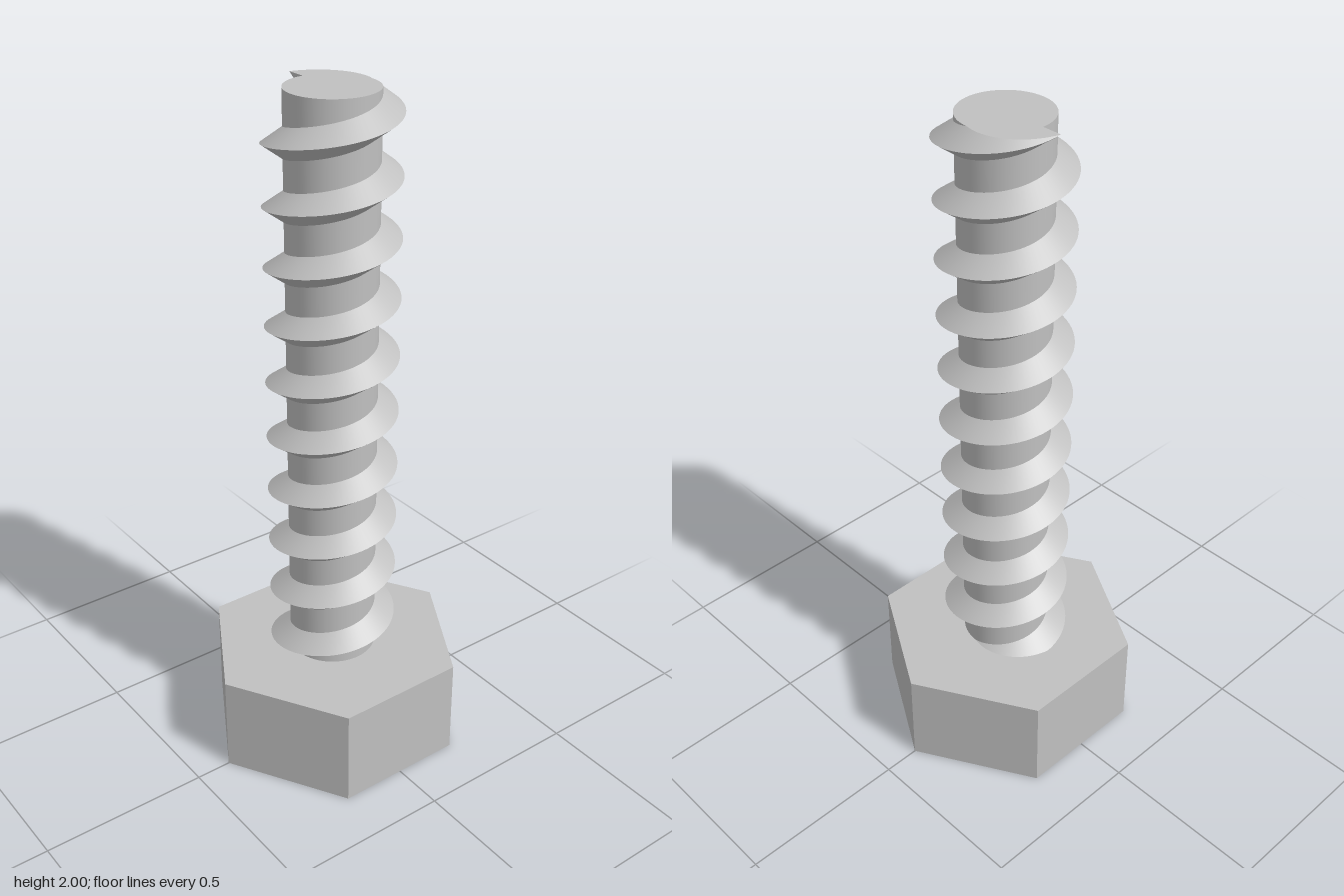
import * as THREE from 'three';

const HEAD_R = 0.393, HEAD_H = 0.3, TOP = 2;
const ROOT_R = 0.128, CREST_R = 0.187;
const TURNS = 10, SEG = 64;
const PITCH = (TOP - HEAD_H) / TURNS, HALF = PITCH / 4;

// V-shaped thread section at a turn count, trimmed flat at the top of the shaft
function section(turn) {
  const y = HEAD_H + PITCH * turn;
  const cut = Math.min(1, Math.max(0, (TOP - y) / HALF));
  const a = turn * Math.PI * 2;
  const at = (r, h) => [-r * Math.sin(a), h, -r * Math.cos(a)];
  return [
    at(ROOT_R, y - HALF),
    at(CREST_R, y),
    at(CREST_R - cut * (CREST_R - ROOT_R), y + cut * HALF),
    at(ROOT_R, Math.min(TOP, y + HALF)),
  ];
}

// One smooth helical strip between two neighbouring section points
function strip(k, from, to) {
  const pos = [], index = [];
  const n = Math.round((to - from) * SEG);
  for (let i = 0; i <= n; i++) {
    const s = section(from + i / SEG);
    pos.push(...s[k], ...s[k + 1]);
    if (i < n) {
      const b = i * 2;
      index.push(b, b + 2, b + 3, b, b + 3, b + 1);
    }
  }
  return surface(pos, index);
}

function surface(pos, index) {
  const g = new THREE.BufferGeometry();
  g.setAttribute('position', new THREE.Float32BufferAttribute(pos, 3));
  g.setIndex(index);
  g.computeVertexNormals();
  return g;
}

export function createModel() {
  const steel = new THREE.MeshStandardMaterial({ color: 0xc0c0c0 });
  const model = new THREE.Group();
  model.name = 'hexScrew';
  const add = (name, geometry, parent = model) => {
    const mesh = new THREE.Mesh(geometry, steel);
    mesh.name = name;
    parent.add(mesh);
    return mesh;
  };

  // Hexagonal head with corners on the x axis and crisp edges
  const head = new THREE.CylinderGeometry(HEAD_R, HEAD_R, HEAD_H, 6)
    .rotateY(Math.PI / 6).translate(0, HEAD_H / 2, 0).toNonIndexed();
  head.computeVertexNormals();
  add('head', head);

  // Shaft, sunk a little into the head
  const low = HEAD_H - 0.1;
  add('shaft', new THREE.CylinderGeometry(ROOT_R, ROOT_R, TOP - low, SEG)
    .translate(0, (TOP + low) / 2, 0));

  // Thread, starting hidden inside the head
  const thread = new THREE.Group();
  thread.name = 'thread';
  model.add(thread);
  add('threadLowerFlank', strip(0, -0.5, TURNS), thread);
  add('threadUpperFlank', strip(1, -0.5, TURNS), thread);
  add('threadTopFlat', strip(2, TURNS - 0.25, TURNS), thread);

  // Face closing the thread where it stops
  const end = section(TURNS);
  add('threadEnd', surface([...end[0], ...end[3], ...end[1]], [0, 1, 2]), thread);

  return model;
}
